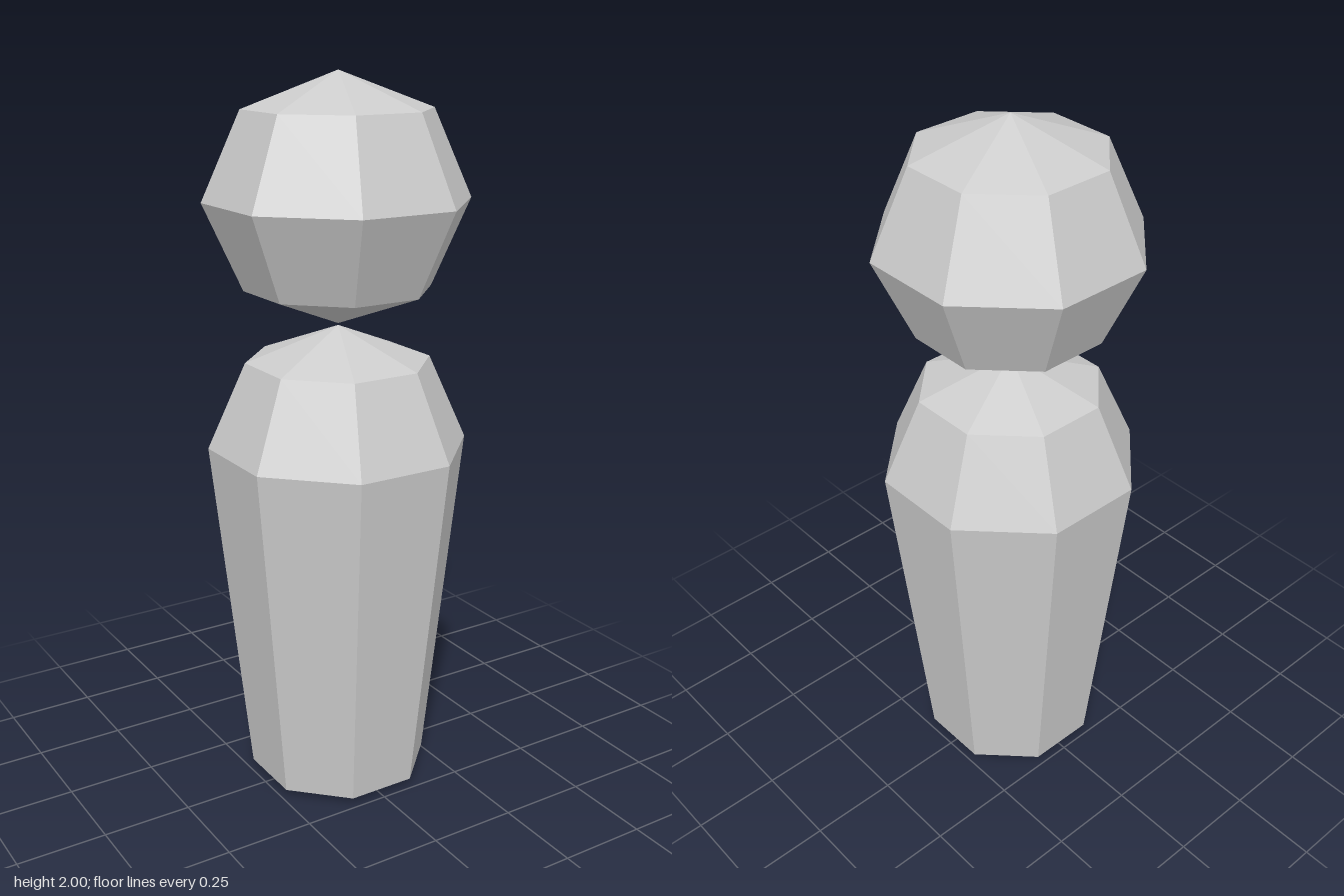
import * as THREE from 'three';

const material = new THREE.MeshStandardMaterial({ color: 0xcccccc, flatShading: true });

// Eight-sided turned solid from [radius, height] points, listed bottom to top;
// radii are measured to the corners, and a flat side faces the front.
function turned(name, profile) {
  const points = profile.map(([r, y]) => new THREE.Vector2(r, y));
  const mesh = new THREE.Mesh(new THREE.LatheGeometry(points, 8, Math.PI / 8), material);
  mesh.name = name;
  return mesh;
}

export function createModel() {
  const group = new THREE.Group();
  group.name = 'pegFigure';

  const wide = 0.361; // corner radius at the widest ring
  const narrow = wide * Math.SQRT1_2; // corner radius of the smaller rings

  // Tapered body with domed shoulders and a very shallow pointed underside
  group.add(turned('body', [
    [0, 0], [narrow, 0.02], [wide, 1.0], [narrow, 1.237], [0, 1.333],
  ]));

  // Faceted ball head, its lower tip just above the body
  const centre = 1.669, radius = 0.331, ring = 0.235;
  group.add(turned('head', [
    [0, centre - radius], [narrow, centre - ring], [wide, centre],
    [narrow, centre + ring], [0, centre + radius],
  ]));

  return group;
}
